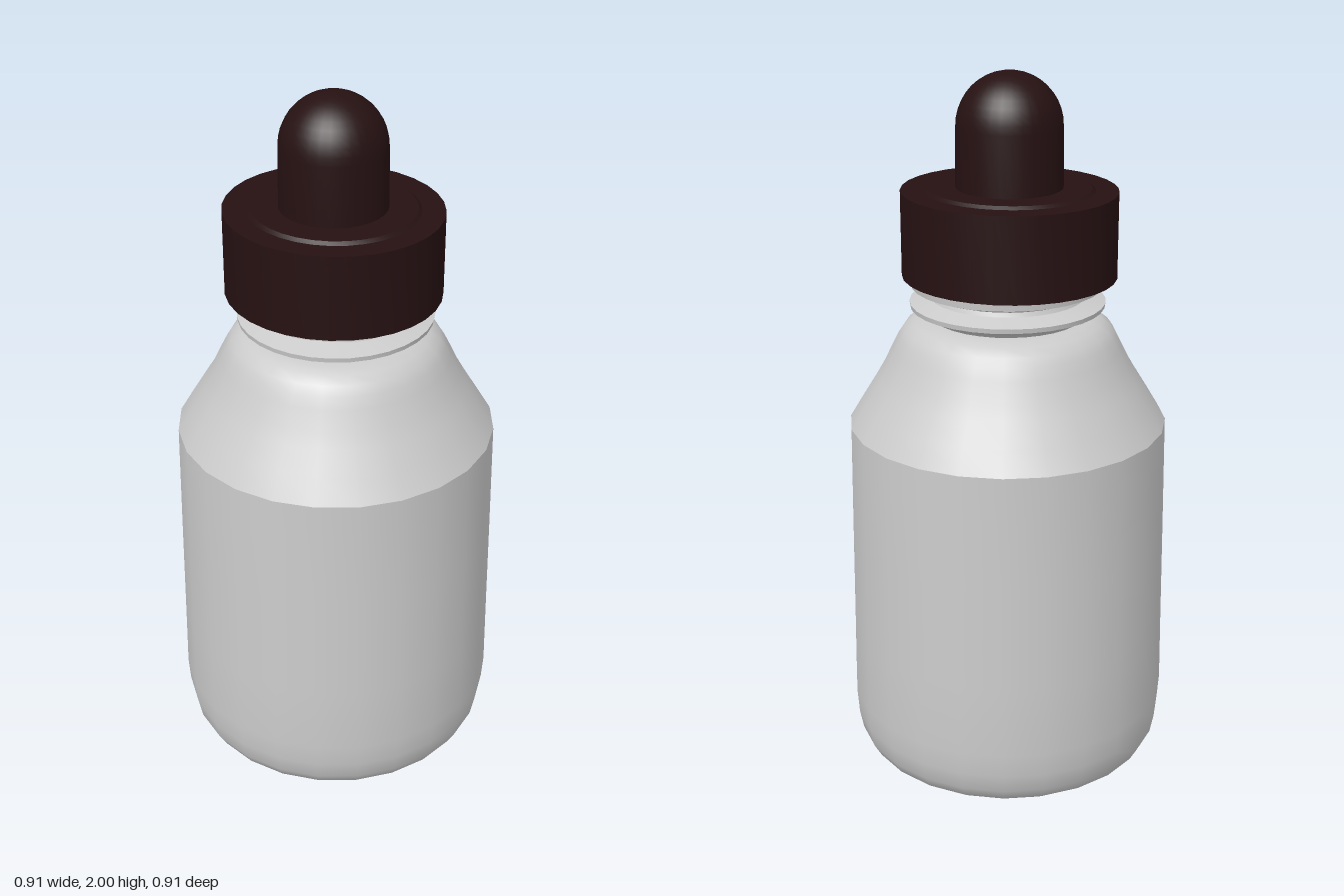
import * as THREE from 'three';
import { toCreasedNormals } from 'three/addons/utils/BufferGeometryUtils.js';

const glass = new THREE.MeshStandardMaterial({ color: 0xcccccc });
const rubber = new THREE.MeshStandardMaterial({ color: 0x261112 });

// Revolve a [radius, height] profile (bottom to top), keeping sharp edges creased
function turned(name, profile, sides, material, crease = 0.5) {
  const points = profile.map(([r, y]) => new THREE.Vector2(r, y));
  const geometry = toCreasedNormals(new THREE.LatheGeometry(points, sides), crease);
  const mesh = new THREE.Mesh(geometry, material);
  mesh.name = name;
  return mesh;
}

export function createModel() {
  const model = new THREE.Group();
  model.name = 'dropperBottle';

  // Tapered body with a rounded foot and a sloping shoulder
  model.add(turned('bottleBody', [
    [0, 0.005], [0.25, 0.005], [0.34, 0.005], [0.385, 0.015], [0.42, 0.04], [0.44, 0.075],
    [0.451, 0.13], [0.456, 0.2], [0.453, 0.4], [0.449, 0.7], [0.444, 1.03],
  ], 24, glass, 0.6));
  model.add(turned('shoulder', [
    [0.444, 1.03], [0.405, 1.095], [0.368, 1.155], [0.342, 1.2], [0.318, 1.25], [0.303, 1.28],
    [0.287, 1.304], [0.262, 1.323], [0.235, 1.333], [0.2, 1.336], [0, 1.336],
  ], 24, glass, 0.7));

  // Neck with a thread ridge and a flared collar running up into the cap
  model.add(turned('threadedNeck', [
    [0.205, 1.33], [0.22, 1.345], [0.268, 1.365], [0.27, 1.378], [0.215, 1.393],
    [0.21, 1.405], [0.265, 1.425], [0.268, 1.455], [0, 1.455],
  ], 32, glass));

  // Cap, set slightly forward and a touch narrower front to back
  const top = new THREE.Group();
  top.name = 'dropperTop';
  top.position.z = 0.01;
  const cap = turned('cap', [
    [0, 1.447], [0.298, 1.447], [0.298, 1.683], [0.235, 1.683], [0.225, 1.691], [0, 1.691],
  ], 32, rubber);
  cap.scale.z = 0.967;
  top.add(cap);

  // Squeeze bulb with a domed tip
  const bulb = [[0.146, 1.685]];
  for (let i = 0; i <= 10; i++) {
    const a = (i / 10) * Math.PI / 2;
    bulb.push([0.144 * Math.cos(a), 1.856 + 0.144 * Math.sin(a)]);
  }
  top.add(turned('squeezeBulb', bulb, 32, rubber));
  model.add(top);

  return model;
}
